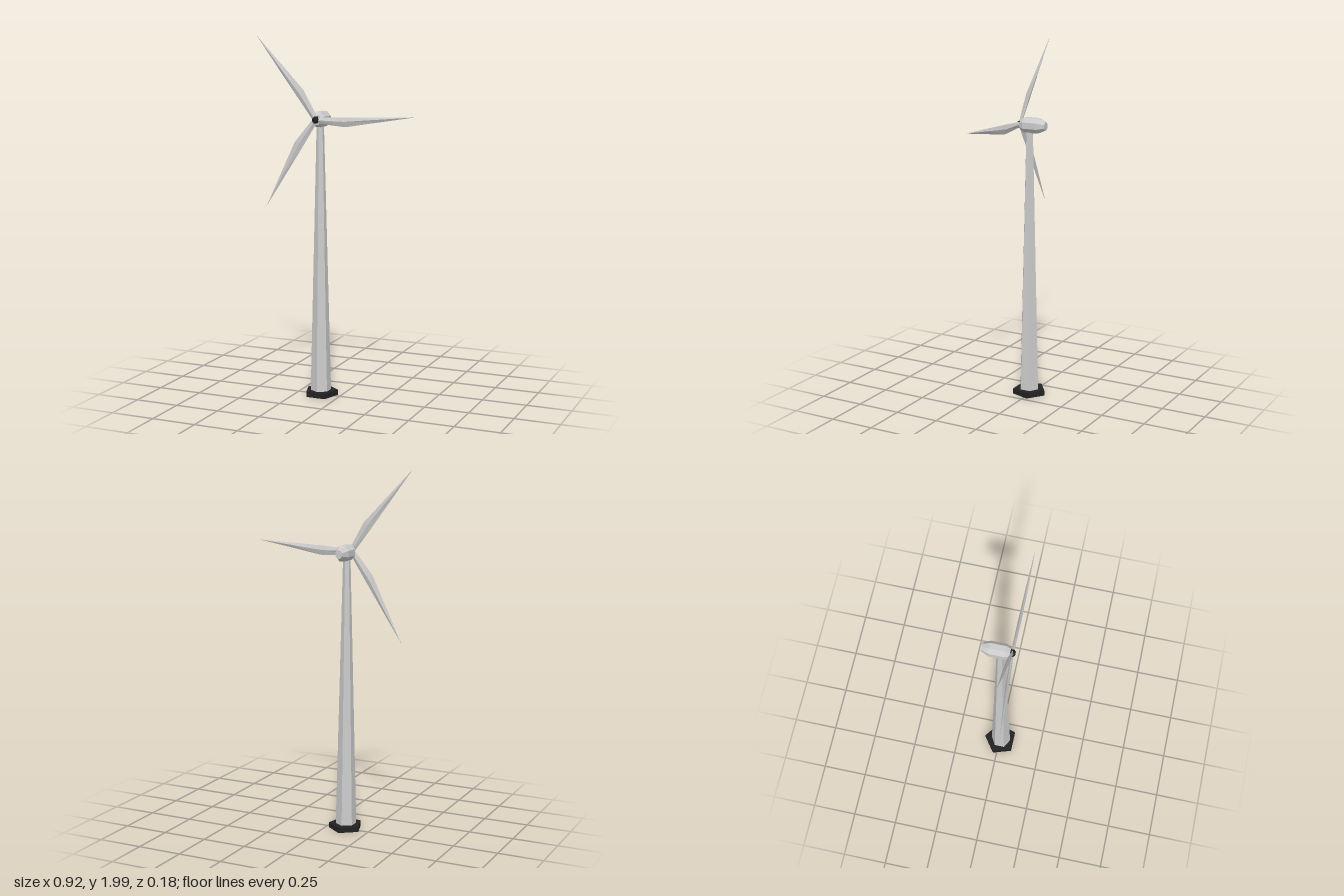
import * as THREE from 'three';

const AXIS_X = -0.11, HUB_Y = 1.541;
const grey = new THREE.MeshStandardMaterial({ color: 0xcccccc, flatShading: true });
const dark = new THREE.MeshStandardMaterial({ color: 0x222222, flatShading: true });

function part(name, geometry, material, x, y, z) {
  const mesh = new THREE.Mesh(geometry, material);
  mesh.name = name;
  mesh.position.set(x, y, z);
  return mesh;
}

// Body of revolution along z from [radius, z] pairs, with flats facing up and sideways
function turned(profile, sides) {
  const pts = profile.map(([r, z]) => new THREE.Vector2(r, z));
  return new THREE.LatheGeometry(pts, sides).rotateY(Math.PI / sides).rotateX(Math.PI / 2);
}

// Blade along +x: diamond cross-sections that end in a point
function bladeGeometry() {
  // [distance, leading edge, trailing edge, half thickness]
  const stations = [
    [0.008, 0.014, -0.018, 0.008],
    [0.17, 0.011, -0.042, 0.009],
    [0.36, 0.006, -0.022, 0.007],
    [0.57, 0, 0, 0],
  ];
  const rings = stations.map(([d, lead, trail, t]) => {
    const ridge = lead * 0.55 + trail * 0.45;
    return [[d, lead, 0], [d, ridge, t], [d, trail, 0], [d, ridge, -t]];
  });
  const pos = [];
  for (let i = 0; i < rings.length - 1; i++) {
    for (let j = 0; j < 4; j++) {
      const k = (j + 1) % 4;
      const a = rings[i][j], b = rings[i][k], c = rings[i + 1][k], d = rings[i + 1][j];
      pos.push(...a, ...b, ...c);
      if (i < rings.length - 2) pos.push(...a, ...c, ...d);
    }
  }
  // Root cap
  const [p, q, r, s] = rings[0];
  pos.push(...p, ...r, ...q, ...p, ...s, ...r);
  const geo = new THREE.BufferGeometry();
  geo.setAttribute('position', new THREE.Float32BufferAttribute(pos, 3));
  geo.computeVertexNormals();
  return geo;
}

export function createModel() {
  const model = new THREE.Group();
  model.name = 'windTurbine';

  // Five-sided foundation with its point to the back
  const base = part('foundation', new THREE.CylinderGeometry(0.0945, 0.0945, 0.03, 5), dark, AXIS_X, 0.015, 0.007);
  base.rotation.y = Math.PI;
  model.add(base);

  // Tapering six-sided tower
  const height = 1.49;
  model.add(part('tower', new THREE.CylinderGeometry(0.02, 0.057, height, 6), grey, AXIS_X, 0.025 + height / 2, 0.009));

  // Eight-sided nacelle, slightly taller than wide
  const nacelle = part('nacelle', turned([
    [0, -0.09], [0.021, -0.09], [0.0395, -0.047], [0.0395, 0.036], [0.027, 0.06], [0, 0.06],
  ], 8), grey, AXIS_X, HUB_Y, 0);
  nacelle.scale.y = 1.12;
  model.add(nacelle);

  // Rotor: dark hub and three blades
  const rotor = new THREE.Group();
  rotor.name = 'rotor';
  rotor.position.set(AXIS_X, HUB_Y, 0.069);
  rotor.add(part('hub', turned([
    [0, -0.015], [0.02, -0.015], [0.02, 0.006], [0.01, 0.016], [0, 0.016],
  ], 8), dark, 0, 0, 0));
  const geo = bladeGeometry();
  for (const degrees of [3.5, 128, 238.4]) {
    const blade = part('blade', geo, grey, 0, 0, 0);
    blade.rotation.z = THREE.MathUtils.degToRad(degrees);
    rotor.add(blade);
  }
  model.add(rotor);

  return model;
}
